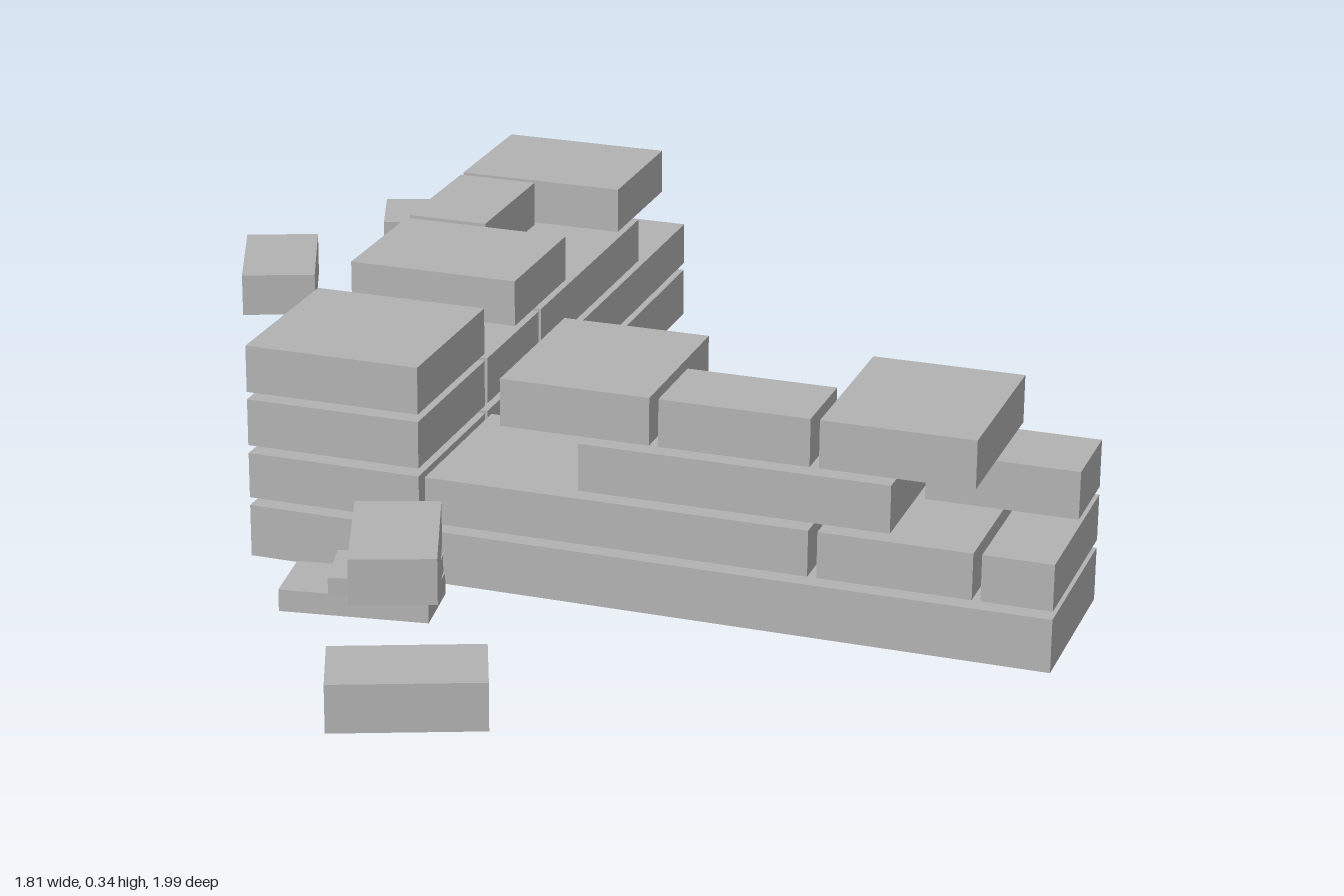
import * as THREE from 'three';

const stone = new THREE.MeshStandardMaterial({ color: 0xb2b2b2 });
stone.name = 'stone grey';

// courses as [bottom, top]
const courses = [[0, 0.084], [0.097, 0.17], [0.183, 0.258], [0.27, 0.345]];

function block(parent, name, x0, x1, y0, y1, z0, z1) {
  const mesh = new THREE.Mesh(new THREE.BoxGeometry(x1 - x0, y1 - y0, z1 - z0), stone);
  mesh.position.set((x0 + x1) / 2, (y0 + y1) / 2, (z0 + z1) / 2);
  mesh.name = name;
  parent.add(mesh);
  return mesh;
}

function looseBrick(parent, name, x, z, width, depth, y0, y1, turn) {
  const mesh = block(parent, name, -width / 2, width / 2, y0, y1, -depth / 2, depth / 2);
  mesh.position.x = x;
  mesh.position.z = z;
  mesh.rotation.y = turn;
}

export function createModel() {
  const model = new THREE.Group();
  model.name = 'ruinedWallCorner';

  // corner stack above the base course
  const corner = new THREE.Group();
  corner.name = 'cornerStack';
  courses.slice(1).forEach(([a, b]) => block(corner, 'cornerBlock', -0.36, -0.08, a, b, 0.172, 0.45));

  // front wall: [course, x0, x1, z0, z1]
  const front = new THREE.Group();
  front.name = 'frontWall';
  [
    [0, -0.07, 0.9, 0.17, 0.45],
    [1, -0.07, 0.532, 0.17, 0.45],
    [1, 0.546, 0.78, 0.17, 0.45],
    [1, 0.793, 0.9, 0.17, 0.45],
    [2, 0.175, 0.655, 0.17, 0.45],
    [2, 0.668, 0.9, 0.17, 0.305],
    [3, 0.052, 0.286, 0.17, 0.45],
    [3, 0.3, 0.532, 0.315, 0.45],
    [3, 0.546, 0.78, 0.17, 0.45],
  ].forEach(([c, x0, x1, z0, z1]) => block(front, 'frontWallBrick', x0, x1, ...courses[c], z0, z1));

  // side wall: [course, z0, z1, x0, x1]
  const side = new THREE.Group();
  side.name = 'sideWall';
  [
    [0, -0.815, 0.45, -0.36, -0.08],
    [1, 0.045, 0.16, -0.36, -0.08],
    [1, -0.195, 0.035, -0.36, -0.08],
    [1, -0.815, -0.205, -0.36, -0.08],
    [2, -0.07, 0.16, -0.217, -0.08],
    [2, -0.565, -0.082, -0.36, -0.08],
    [3, -0.197, 0.038, -0.36, -0.08],
    [3, -0.443, -0.212, -0.36, -0.226],
    [3, -0.688, -0.456, -0.36, -0.08],
  ].forEach(([c, z0, z1, x0, x1]) => block(side, 'sideWallBrick', x0, x1, ...courses[c], z0, z1));

  // fallen bricks and thin chips at both ends
  const rubble = new THREE.Group();
  rubble.name = 'rubble';
  [
    ['backFallenBrick', -0.803, -0.67, 0.13, 0.227, 0, 0.075, 0.38],
    ['backToppledBrick', -0.523, -0.795, 0.23, 0.13, 0.08, 0.152, 0.35],
    ['backLowerChip', -0.47, -0.882, 0.11, 0.225, 0, 0.035, 0.14],
    ['backUpperChip', -0.467, -0.836, 0.105, 0.16, 0.035, 0.065, 0.26],
    ['frontFallenBrick', 0.077, 0.888, 0.23, 0.13, 0, 0.075, 0.38],
    ['frontToppledBrick', -0.052, 0.612, 0.13, 0.22, 0.08, 0.152, 0.35],
    ['frontLowerChip', -0.13, 0.557, 0.23, 0.11, 0, 0.035, 0.15],
    ['frontUpperChip', -0.092, 0.555, 0.16, 0.105, 0.035, 0.065, 0.26],
  ].forEach((args) => looseBrick(rubble, ...args));

  model.add(corner, front, side, rubble);
  return model;
}
